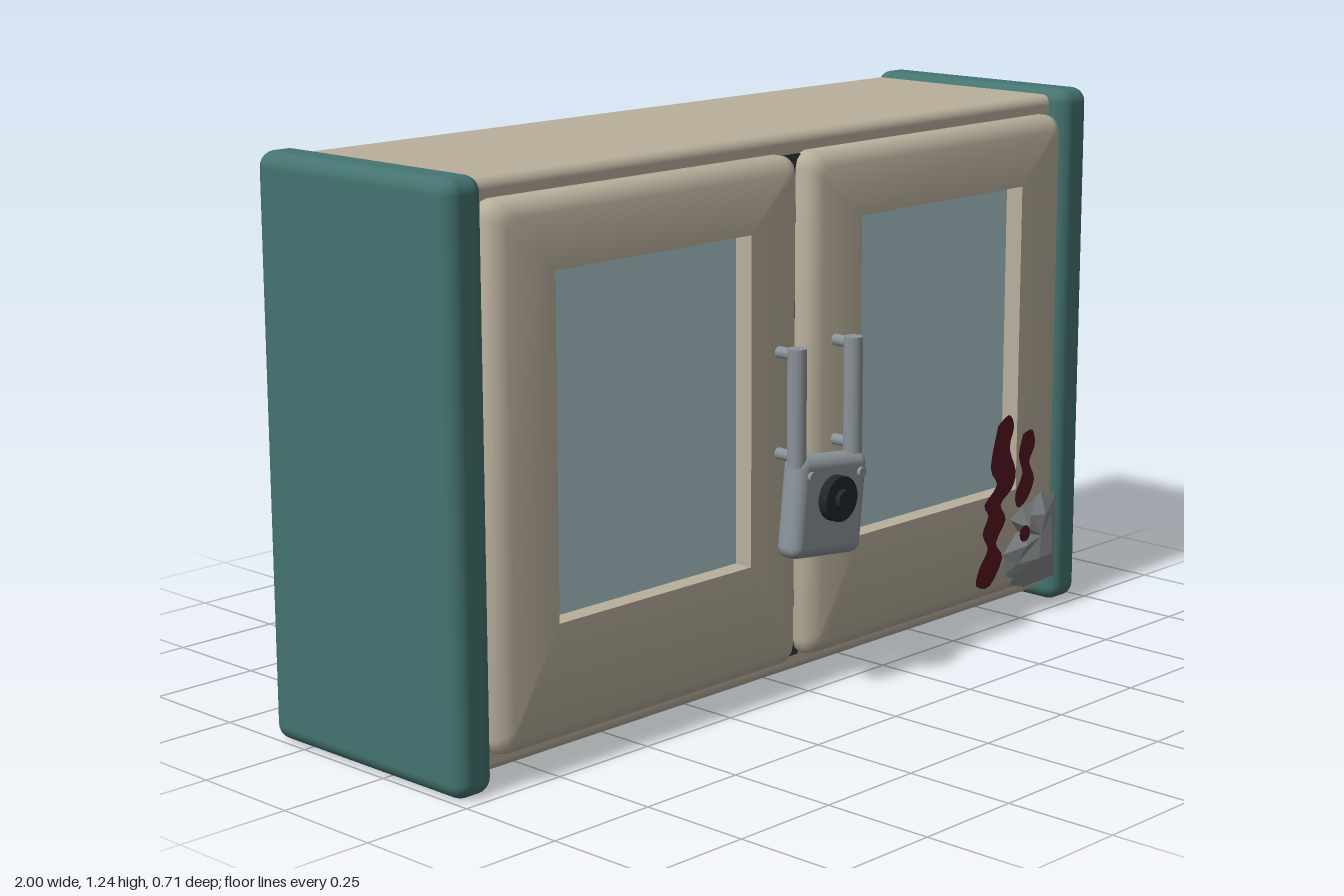
import * as THREE from 'three';
import { toCreasedNormals } from 'three/addons/utils/BufferGeometryUtils.js';
import { RoundedBoxGeometry } from 'three/addons/geometries/RoundedBoxGeometry.js';

const mat = (color, extra = {}) => new THREE.MeshStandardMaterial({ color, ...extra });
const teal = mat(0x447370), cream = mat(0xb9af9c), dark = mat(0x2a373b), glassMat = mat(0xabc8cd);
const steel = mat(0x8b9399), black = mat(0x20272b);
const blood = mat(0x541520, { side: THREE.DoubleSide });
const stone = mat(0x85898b, { flatShading: true, side: THREE.DoubleSide });

function add(parent, name, geometry, material, x = 0, y = 0, z = 0) {
  const mesh = new THREE.Mesh(geometry, material);
  mesh.name = name;
  mesh.position.set(x, y, z);
  parent.add(mesh);
  return mesh;
}

// Counter-clockwise rounded rectangle, 4 points per corner
function ring(x0, x1, y0, y1, r, z) {
  const points = [];
  [[x1, y0, -1], [x1, y1, 0], [x0, y1, 1], [x0, y0, 2]].forEach(([x, y, q]) => {
    const cx = x === x1 ? x - r : x + r, cy = y === y1 ? y - r : y + r;
    for (let i = 0; i < 4; i++) {
      const a = (q + i / 3) * Math.PI / 2;
      points.push([cx + r * Math.cos(a), cy + r * Math.sin(a), z]);
    }
  });
  return points;
}

// Skin successive rings into one closed door frame
function frameGeometry() {
  const outer = (inset, z) => ring(0.015 + inset, 0.895 - inset, 0.065 + inset, 1.18 - inset, 0.035 - inset * 0.5, z);
  const opening = z => ring(0.175, 0.735, 0.315, 1.03, 0, z);
  const rings = [opening(0.17), outer(0, 0.17), outer(0, 0.205), outer(0.005, 0.22),
    outer(0.018, 0.233), outer(0.035, 0.24), opening(0.24), opening(0.17)];
  const pos = [];
  for (let k = 0; k < rings.length - 1; k++) {
    const a = rings[k], b = rings[k + 1];
    for (let i = 0; i < a.length; i++) {
      const j = (i + 1) % a.length;
      pos.push(...a[i], ...a[j], ...b[j], ...a[i], ...b[j], ...b[i]);
    }
  }
  const g = new THREE.BufferGeometry();
  g.setAttribute('position', new THREE.Float32BufferAttribute(pos, 3));
  return toCreasedNormals(g, 0.7);
}

// Flat irregular outline with smooth edges
function stain(points) {
  const curve = new THREE.SplineCurve([...points, points[0]].map(p => new THREE.Vector2(...p)));
  return new THREE.ShapeGeometry(new THREE.Shape(curve.getPoints(points.length * 3).slice(0, -1)));
}

// Shallow faceted lump: outline, raised inner loop, apex
function lumpGeometry() {
  const rim = [[0.9, 0.07], [0.9, 0.27], [0.835, 0.31], [0.76, 0.285], [0.695, 0.255],
    [0.73, 0.215], [0.67, 0.16], [0.675, 0.095], [0.785, 0.065]];
  const c = [0.815, 0.19];
  const inner = rim.map(([x, y], i) => {
    const t = i % 2 ? 0.58 : 0.42;
    return [c[0] + (x - c[0]) * t, c[1] + (y - c[1]) * t, i % 2 ? 0.249 : 0.262];
  });
  const pos = [];
  rim.forEach((p, i) => {
    const j = (i + 1) % rim.length;
    const a = [...p, 0.232], b = [...rim[j], 0.232];
    pos.push(...a, ...b, ...inner[j], ...a, ...inner[j], ...inner[i]);
    pos.push(...inner[i], ...inner[j], ...c, 0.257);
  });
  const g = new THREE.BufferGeometry();
  g.setAttribute('position', new THREE.Float32BufferAttribute(pos, 3));
  g.computeVertexNormals();
  return g;
}

export function createModel() {
  const model = new THREE.Group();
  model.name = 'wallCabinet';

  // Cabinet box and the dark gap between the doors
  add(model, 'cabinetBody', new RoundedBoxGeometry(1.86, 1.195, 0.54, 3, 0.022), cream, 0, 0.6225, -0.085);
  add(model, 'doorGap', new THREE.BoxGeometry(0.06, 1.11, 0.02), dark, 0, 0.62, 0.18);
  add(model, 'latch', new THREE.BoxGeometry(0.022, 0.035, 0.04), cream, 0, 0.625, 0.205);

  // Mirrored side panels, doors and handles
  const door = frameGeometry();
  for (const [side, s] of [['left', 1], ['right', -1]]) {
    add(model, side + 'Panel', new RoundedBoxGeometry(0.1, 1.235, 0.583, 3, 0.034), teal, s * 0.95, 0.6175, -0.0625);

    const frame = add(model, side + 'Door', door, cream);
    // The frame is symmetric front to back in outline, so shift the mirrored copy
    if (s < 0) {
      const g = door.clone(), p = g.attributes.position, n = g.attributes.normal;
      for (let i = 0; i < p.count; i++) {
        p.setX(i, -p.getX(i));
        n.setX(i, -n.getX(i));
      }
      g.setIndex(Array.from({ length: p.count }, (_, i) => i - i % 3 + 2 - i % 3));
      frame.geometry = g;
    }
    add(model, side + 'Glass', new THREE.BoxGeometry(0.57, 0.725, 0.015), glassMat, s * 0.455, 0.6725, 0.188);

    const handle = new THREE.Group();
    handle.name = side + 'Handle';
    handle.position.set(s * 0.09, 0, 0);
    add(handle, 'grip', new THREE.CylinderGeometry(0.021, 0.021, 0.255, 14), steel, 0, 0.657, 0.292);
    for (const y of [0.77, 0.55]) {
      add(handle, 'standoff', new THREE.CylinderGeometry(0.013, 0.013, 0.07, 10), steel, 0, y, 0.262).rotation.x = Math.PI / 2;
    }
    model.add(handle);
  }

  // Tilted lock with round dial and rivets
  const lock = new THREE.Group();
  lock.name = 'lock';
  lock.position.set(-0.003, 0.43, 0.288);
  lock.rotation.z = -0.11;
  add(lock, 'lockBody', new RoundedBoxGeometry(0.222, 0.222, 0.064, 3, 0.025), steel);
  const disc = (name, r, depth, m, x, y, z) =>
    add(lock, name, new THREE.CylinderGeometry(r, r, depth, 24), m, x, y, z).rotation.x = Math.PI / 2;
  disc('dial', 0.05, 0.026, black, 0, 0.02, 0.042);
  disc('dialKnob', 0.022, 0.014, black, 0, 0.02, 0.06);
  for (const x of [-0.08, 0.08]) disc('rivet', 0.011, 0.012, steel, x, 0.07, 0.034);
  model.add(lock);

  // Faceted lump and stains on the lower corner of the left door
  add(model, 'facetedLump', lumpGeometry(), stone);
  add(model, 'largeStain', stain([[0.66, 0.48], [0.7, 0.5], [0.72, 0.47], [0.705, 0.42], [0.73, 0.36],
    [0.715, 0.32], [0.675, 0.29], [0.695, 0.25], [0.66, 0.2], [0.685, 0.16], [0.64, 0.1], [0.59, 0.11],
    [0.6, 0.15], [0.63, 0.19], [0.61, 0.23], [0.63, 0.27], [0.615, 0.3], [0.66, 0.34], [0.635, 0.385]]),
  blood, 0, 0, 0.243);
  add(model, 'smallStain', stain([[0.755, 0.445], [0.79, 0.45], [0.8, 0.41], [0.78, 0.375], [0.8, 0.33],
    [0.775, 0.285], [0.74, 0.27], [0.73, 0.305], [0.755, 0.35], [0.74, 0.395]]), blood, 0, 0, 0.243);
  add(model, 'stainDrop', new THREE.CircleGeometry(0.02, 12), blood, 0.745, 0.21, 0.262);

  return model;
}
